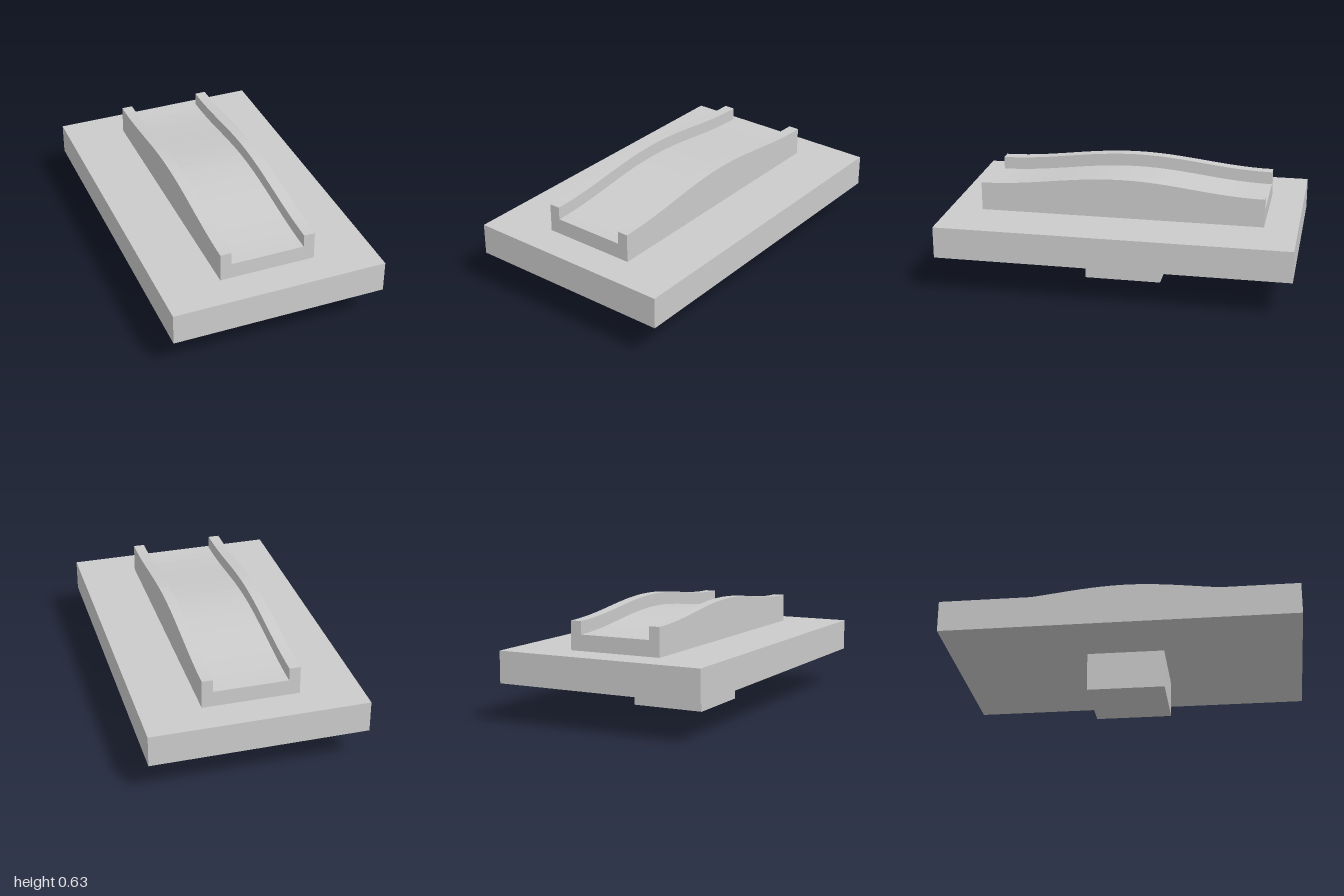
import * as THREE from 'three';

const material = new THREE.MeshStandardMaterial({ color: 0xcccccc });

function add(group, name, geometry, x, y, z) {
  const mesh = new THREE.Mesh(geometry, material);
  mesh.name = name;
  mesh.position.set(x, y, z);
  group.add(mesh);
}

// Solid of the given width whose top follows a cosine hump along z
function humpedStrip(width, endHeight, rise, halfLength, segments = 24) {
  const shape = new THREE.Shape();
  shape.moveTo(-halfLength, 0);
  shape.lineTo(halfLength, 0);
  for (let i = 0; i <= segments; i++) {
    const z = halfLength * (1 - (2 * i) / segments);
    shape.lineTo(z, endHeight + (rise / 2) * (1 + Math.cos((Math.PI * z) / halfLength)));
  }
  const geometry = new THREE.ExtrudeGeometry(shape, { depth: width, bevelEnabled: false });
  geometry.translate(0, 0, -width / 2);
  geometry.rotateY(-Math.PI / 2);
  return geometry;
}

export function createModel() {
  const model = new THREE.Group();
  model.name = 'humpedTrackOnPlatform';

  // Pedestal and platform
  add(model, 'pedestal', new THREE.BoxGeometry(0.44, 0.222, 0.44), 0, 0.111, 0);
  add(model, 'platform', new THREE.BoxGeometry(1.22, 0.18, 2), 0, 0.312, 0);

  // Channel floor between two taller side rails
  const top = 0.402, halfLength = 0.81, railWidth = 0.063, floorWidth = 0.42;
  add(model, 'channelFloor', humpedStrip(floorWidth, 0.09, 0.064, halfLength), 0, top, 0);
  for (const side of [-1, 1]) {
    add(model, side > 0 ? 'leftRail' : 'rightRail',
      humpedStrip(railWidth, 0.163, 0.064, halfLength),
      side * (floorWidth + railWidth) / 2, top, 0);
  }
  return model;
}
